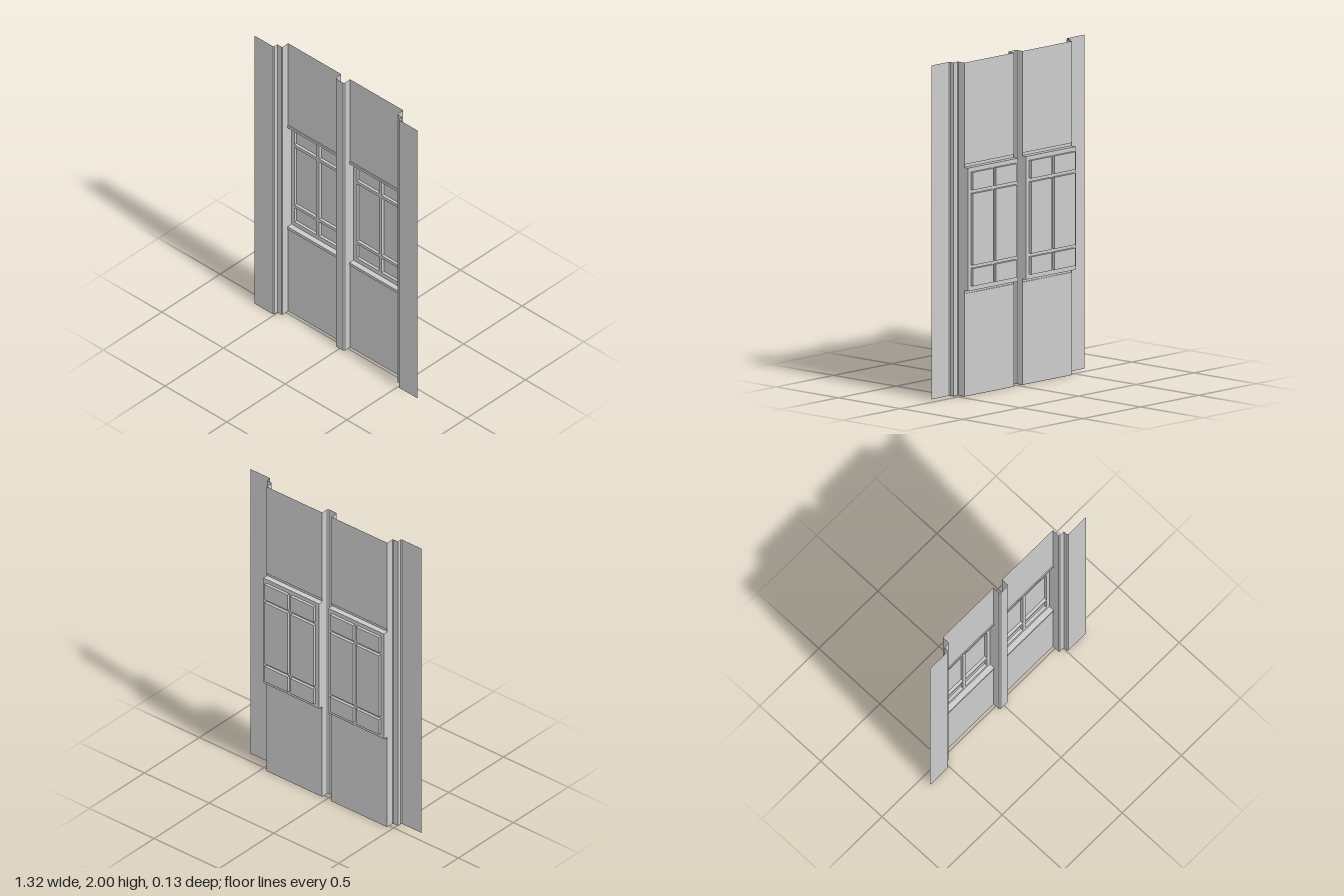
import * as THREE from 'three';

const material = new THREE.MeshStandardMaterial({ color: 0xcccccc, side: THREE.DoubleSide, flatShading: true });

// depths of the sheet, front to back
const Z = { panel: 0.065, post: 0.034, lip: -0.012, wall: -0.018, frame: -0.047, pane: -0.065 };
const H = 2;
const BAY = [0.036, 0.466]; // inner and outer edge of a bay

function mesh(name, geometry) {
  const m = new THREE.Mesh(geometry, material);
  m.name = name;
  return m;
}

// sheet made of separate flat quads, each given by four corners
function quads(list) {
  const pos = [];
  for (const [a, b, c, d] of list) pos.push(...a, ...b, ...c, ...a, ...c, ...d);
  const g = new THREE.BufferGeometry();
  g.setAttribute('position', new THREE.Float32BufferAttribute(pos, 3));
  g.computeVertexNormals();
  return g;
}

// [x, z] profile pulled up from y0 to y1
function upright(points, y0, y1) {
  return quads(points.slice(1).map(([x, z], i) => {
    const [px, pz] = points[i];
    return [[px, y0, pz], [x, y0, z], [x, y1, z], [px, y1, pz]];
  }));
}

// [y, z] profile pulled across from x0 to x1
function across(points, x0, x1) {
  return quads(points.slice(1).map(([y, z], i) => {
    const [py, pz] = points[i];
    return [[x0, py, pz], [x1, py, pz], [x1, y, z], [x0, y, z]];
  }));
}

// recessed pane: four reveals and a back face
function paneGeometry(x0, x1, y0, y1) {
  const c = [[x0, y0], [x1, y0], [x1, y1], [x0, y1]];
  const f = Z.frame, b = Z.pane;
  const list = c.map((p, i) => {
    const q = c[(i + 1) % 4];
    return [[...p, f], [...q, f], [...q, b], [...p, b]];
  });
  list.push(c.map((p) => [...p, b]));
  return quads(list);
}

function rectPath(path, x0, x1, y0, y1) {
  path.moveTo(x0, y0);
  path.lineTo(x1, y0);
  path.lineTo(x1, y1);
  path.lineTo(x0, y1);
  path.closePath();
  return path;
}

function createBay(side) {
  const bay = new THREE.Group();
  bay.name = side > 0 ? 'leftBay' : 'rightBay';
  const [x0, x1] = side > 0 ? BAY : [-BAY[1], -BAY[0]];
  const yLip = [0.615, 1.39], yWin = [0.634, 1.372];

  // plain walls below and above the window
  bay.add(mesh('lowerWall', across([[0, Z.wall], [yLip[0], Z.wall]], x0, x1)));
  bay.add(mesh('upperWall', across([[yLip[1], Z.wall], [H, Z.wall]], x0, x1)));

  // projecting lips that turn back to the window frame
  bay.add(mesh('sill', across([[yLip[0], Z.wall], [yLip[0], Z.lip], [yWin[0], Z.lip], [yWin[0], Z.frame]], x0, x1)));
  bay.add(mesh('lintel', across([[yWin[1], Z.frame], [yWin[1], Z.lip], [yLip[1], Z.lip], [yLip[1], Z.wall]], x0, x1)));

  // side reveals
  bay.add(mesh('jamb', upright([[x0, Z.wall], [x0, Z.frame]], ...yWin)));
  bay.add(mesh('jamb', upright([[x1, Z.frame], [x1, Z.wall]], ...yWin)));

  // frame with six openings, each closed by a recessed pane
  const frame = rectPath(new THREE.Shape(), x0, x1, ...yWin);
  const columns = [[0.063, 0.242], [0.264, 0.442]];
  const rows = [[0.663, 0.769], [0.789, 1.218], [1.239, 1.346]];
  for (const [a, b] of columns) {
    const [p0, p1] = side > 0 ? [a, b] : [-b, -a];
    for (const [r0, r1] of rows) {
      frame.holes.push(rectPath(new THREE.Path(), p0, p1, r0, r1));
      bay.add(mesh('windowPane', paneGeometry(p0, p1, r0, r1)));
    }
  }
  bay.add(mesh('windowFrame', new THREE.ShapeGeometry(frame).translate(0, 0, Z.frame)));
  return bay;
}

export function createModel() {
  const group = new THREE.Group();
  group.name = 'facadePanel';

  // central post with softened front corners
  const half = [[-BAY[0], Z.wall], [-BAY[0], Z.post - 0.007], [-BAY[0] + 0.007, Z.post]];
  const mirrored = (pts) => pts.map(([x, z]) => [-x, z]).reverse();
  group.add(mesh('centerPost', upright([...half, ...mirrored(half)], 0, H)));

  // outer panels stepping back through a side post to the bay
  const edge = [[-0.66, Z.panel], [-0.511, Z.panel], [-0.505, Z.panel - 0.006], [-0.505, Z.post],
    [-BAY[1] - 0.005, Z.post], [-BAY[1], Z.post - 0.005], [-BAY[1], Z.wall]];
  group.add(mesh('rightSidePanel', upright(edge, 0, H)));
  group.add(mesh('leftSidePanel', upright(mirrored(edge), 0, H)));

  for (const side of [-1, 1]) group.add(createBay(side));
  return group;
}
